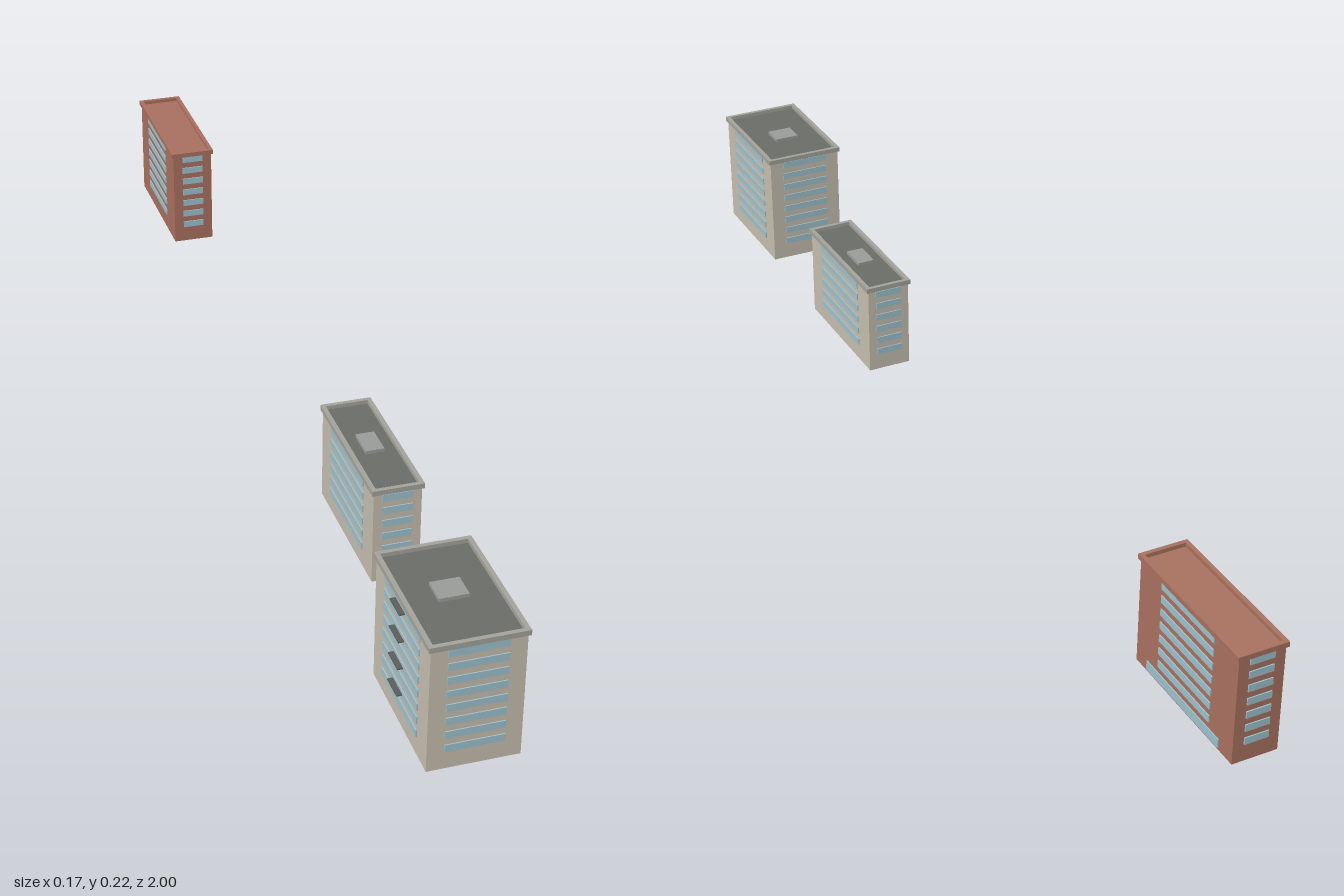
import * as THREE from 'three';

const mat = (color) => new THREE.MeshStandardMaterial({ color });
const stone = mat(0xc4bdae), brick = mat(0xa8705f), glass = mat(0x9cc0cc);
const trim = mat(0xa3a39b), darkTrim = mat(0x5c5c5a), roofGrey = mat(0x6a6c68), unitGrey = mat(0x999b99);

const PITCH = 0.0243, FIRST = 0.0375, BAND = 0.0125;
const PROUD = 0.002, OVERHANG = 0.0035, WALL = 0.004;

// Box from its centre and size
function box(parent, name, material, [w, h, d], [x, y, z]) {
  const mesh = new THREE.Mesh(new THREE.BoxGeometry(w, h, d), material);
  mesh.position.set(x, y, z);
  mesh.name = name;
  parent.add(mesh);
  return mesh;
}

// Rectangular parapet ring, lying flat with its base at y
function parapet(parent, material, w, d, y, height) {
  const rect = (P, a, b) => {
    const p = new P();
    p.moveTo(-a, -b).lineTo(a, -b).lineTo(a, b).lineTo(-a, b).closePath();
    return p;
  };
  const shape = rect(THREE.Shape, w / 2, d / 2);
  shape.holes.push(rect(THREE.Path, w / 2 - WALL - OVERHANG, d / 2 - WALL - OVERHANG));
  const geometry = new THREE.ExtrudeGeometry(shape, { depth: height, bevelEnabled: false });
  const mesh = new THREE.Mesh(geometry.rotateX(-Math.PI / 2), material);
  mesh.position.y = y;
  mesh.name = 'parapet';
  parent.add(mesh);
}

// Block with ribbon windows on all four sides, flat roof and parapet
function building(name, { x, z, w, d, floors, height, wall, roof, cap, bandX, bandZ }) {
  const g = new THREE.Group();
  g.name = name;
  g.position.set(x, 0, z);
  const roofY = height - 0.009;
  box(g, 'walls', wall, [w, roofY, d], [0, roofY / 2, 0]);
  box(g, 'roof', roof, [w - 0.002, 0.002, d - 0.002], [0, roofY + 0.001, 0]);
  parapet(g, cap, w + 2 * OVERHANG, d + 2 * OVERHANG, roofY, 0.009);

  // Each band runs through the block and stands slightly proud on both faces
  for (let i = 0; i < floors; i++) {
    const y = FIRST + i * PITCH;
    box(g, 'frontAndBackWindows', glass, [bandX, BAND, d + 2 * PROUD], [0, y, 0]);
    box(g, 'sideWindows', glass, [w + 2 * PROUD, BAND, bandZ], [0, y, 0]);
  }
  return g;
}

export function createModel() {
  const model = new THREE.Group();
  model.name = 'cityBlocks';

  // Wide eight-storey block with balconies on its right side
  const tower = building('wideBlock', {
    x: 0, z: 0.8785, w: 0.146, d: 0.236, floors: 8, height: 0.224,
    wall: stone, roof: roofGrey, cap: trim, bandX: 0.093, bandZ: 0.154,
  });
  box(tower, 'roofUnit', unitGrey, [0.047, 0.007, 0.043], [0, 0.2195, -0.007]);
  for (let i = 1; i < 8; i += 2) {
    box(tower, 'balcony', darkTrim, [0.012, 0.002, 0.042], [-0.078, FIRST + i * PITCH, -0.005]);
  }

  // Narrow six-storey block
  const slab = building('narrowBlock', {
    x: 0.04, z: 0.3995, w: 0.081, d: 0.268, floors: 6, height: 0.176,
    wall: stone, roof: roofGrey, cap: trim, bandX: 0.051, bandZ: 0.171,
  });
  box(slab, 'roofUnit', unitGrey, [0.032, 0.007, 0.054], [0, 0.1715, -0.007]);

  // Brick seven-storey block with a shop window on its left side
  const brickBlock = building('brickBlock', {
    x: 0.029, z: -0.858, w: 0.079, d: 0.277, floors: 7, height: 0.199,
    wall: brick, roof: brick, cap: brick, bandX: 0.042, bandZ: 0.148,
  });
  box(brickBlock, 'shopWindow', glass, [0.004, 0.016, 0.208], [0.0395, 0.012, 0.002]);

  model.add(tower, slab, brickBlock);
  return model;
}
